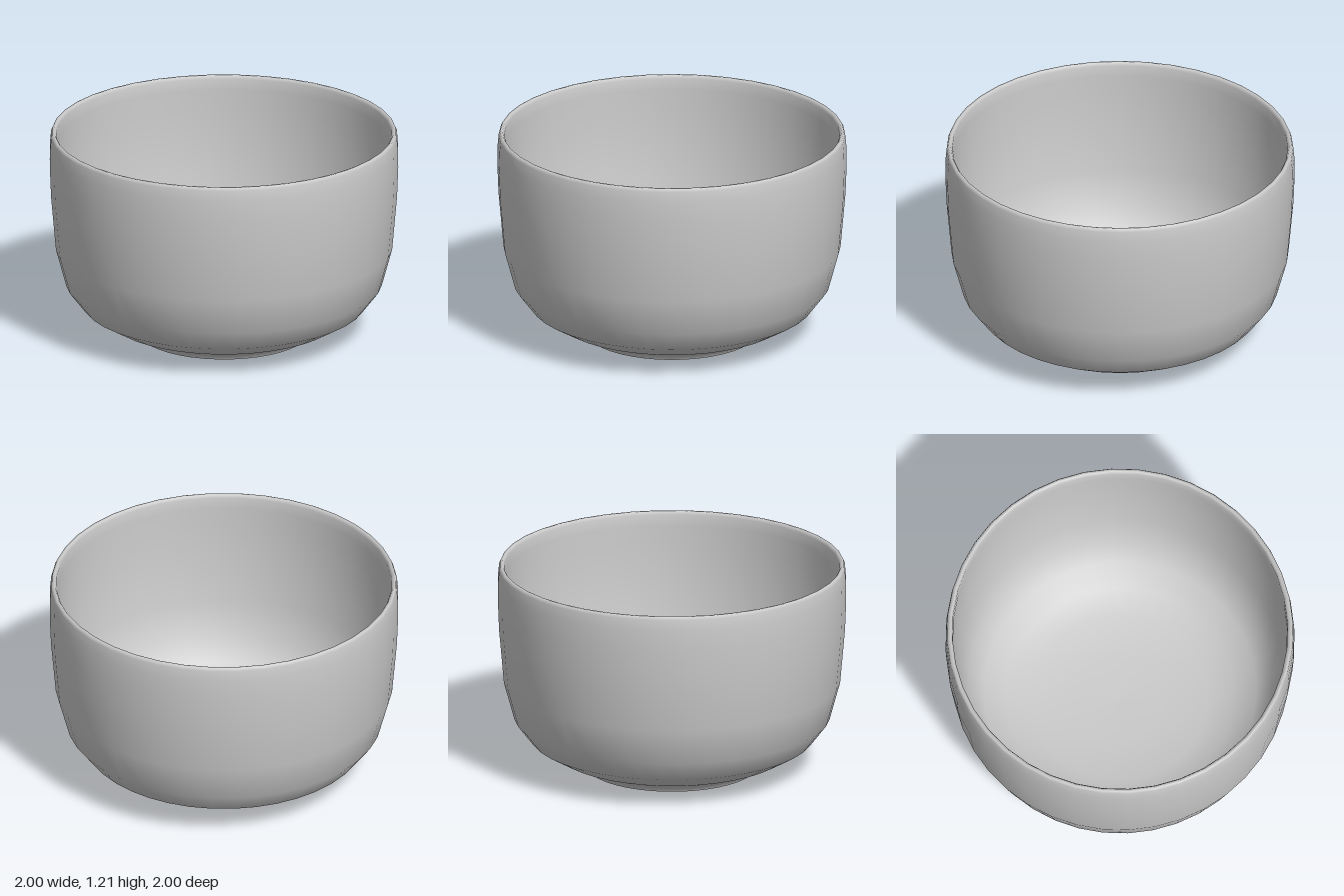
import * as THREE from 'three';

const SEGMENTS = 40;
const material = new THREE.MeshStandardMaterial({ color: 0xcccccc });

// Revolve a [radius, height] profile into a named, smooth-shaded part
function revolve(name, profile) {
  const points = profile.map(([r, y]) => new THREE.Vector2(r, y));
  const mesh = new THREE.Mesh(new THREE.LatheGeometry(points, SEGMENTS), material);
  mesh.name = name;
  return mesh;
}

export function createModel() {
  const bowl = new THREE.Group();
  bowl.name = 'bowl';

  // Underside: shallow recess inside the foot
  bowl.add(revolve('footBase', [[0, 0.008], [0.465, 0.008], [0.475, 0], [0.49, 0]]));

  // Outer wall, rounded rim and inner wall in one continuous profile
  bowl.add(revolve('bowlWall', [
    // foot and outside
    [0.49, 0], [0.5, 0.02], [0.54, 0.045], [0.67, 0.093], [0.81, 0.175],
    [0.905, 0.3], [0.965, 0.52], [0.993, 0.84], [1, 1.02], [0.998, 1.13],
    // rim
    [0.992, 1.195], [0.984, 1.213], [0.97, 1.213], [0.96, 1.195],
    // inside
    [0.957, 1.13], [0.957, 1.02], [0.95, 0.84], [0.923, 0.53], [0.867, 0.325],
    [0.78, 0.21], [0.65, 0.135], [0.5, 0.085], [0.25, 0.065], [0, 0.06],
  ]));

  return bowl;
}
